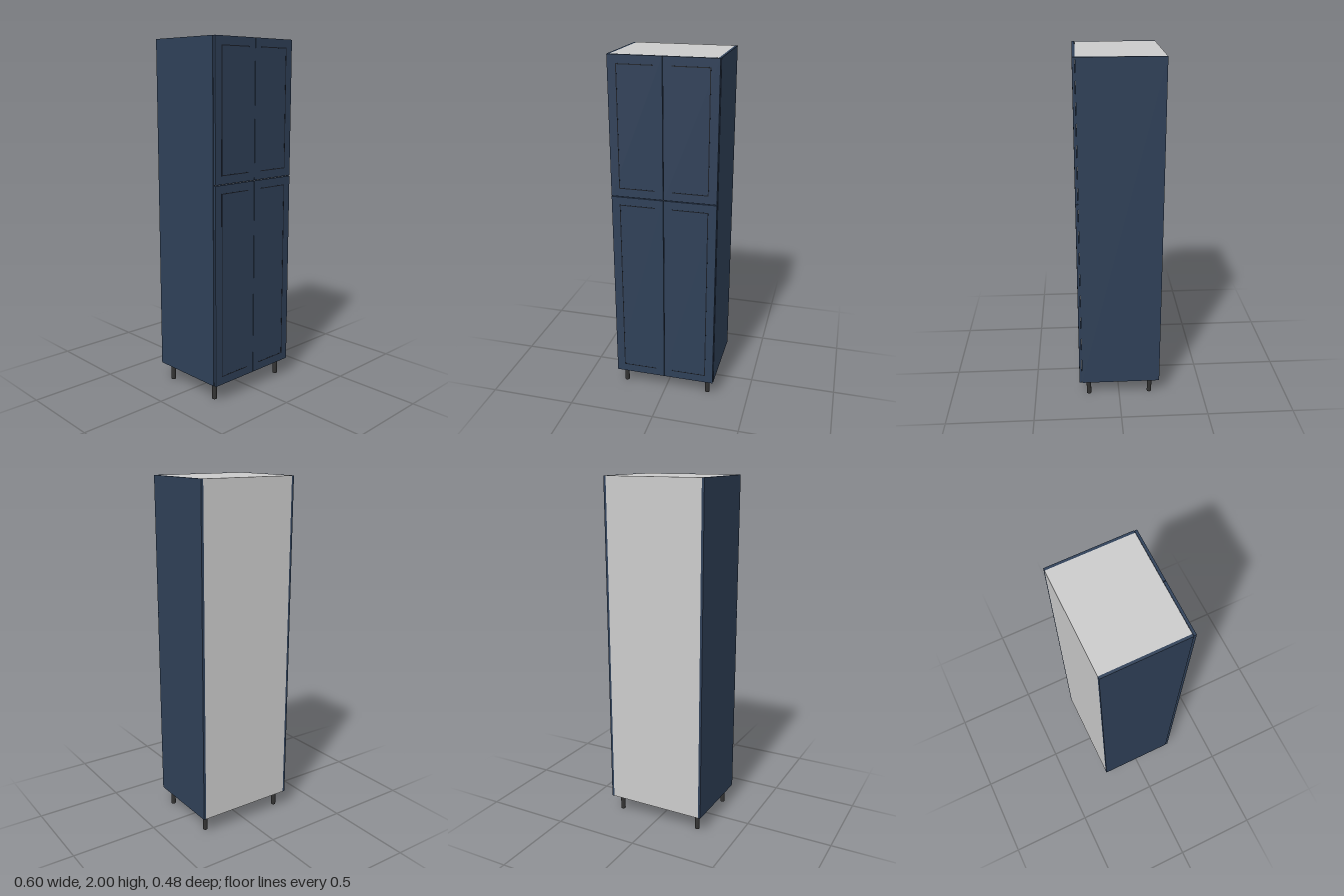
import * as THREE from 'three';

const navy = new THREE.MeshStandardMaterial({ color: 0x2f4058 });
const dark = new THREE.MeshStandardMaterial({ color: 0x1a1f28 });
const black = new THREE.MeshStandardMaterial({ color: 0x333333 });
const grey = new THREE.MeshStandardMaterial({ color: 0xcccccc });

// Box given by its minimum and maximum corners
function box(name, material, [x0, y0, z0], [x1, y1, z1]) {
  const mesh = new THREE.Mesh(new THREE.BoxGeometry(x1 - x0, y1 - y0, z1 - z0), material);
  mesh.position.set((x0 + x1) / 2, (y0 + y1) / 2, (z0 + z1) / 2);
  mesh.name = name;
  return mesh;
}

const W = 0.298, T = 0.014, BOTTOM = 0.1, TOP = 2, BACK = -0.238, FRONT = 0.221;
const IN = W - T; // inner half width
const DOOR_BACK = 0.2225, DOOR_FRONT = 0.2365;

// Door panel with thin lines along its outer, top and bottom edges
function createDoor(name, side, y0, y1) {
  const door = new THREE.Group();
  door.name = name;
  const span = (a, b) => [Math.min(side * a, side * b), Math.max(side * a, side * b)];
  const [x0, x1] = span(0.0015, 0.2955);
  door.add(box('doorPanel', navy, [x0, y0, DOOR_BACK], [x1, y1, DOOR_FRONT]));

  const inset = 0.045, w = 0.005, z0 = DOOR_FRONT - 0.002, z1 = DOOR_FRONT + 0.0006;
  const [v0, v1] = span(0.25 - w, 0.25);
  const [h0, h1] = span(0.048, 0.25 - w);
  const lo = y0 + inset, hi = y1 - inset;
  door.add(
    box('outerLine', dark, [v0, lo, z0], [v1, hi, z1]),
    box('bottomLine', dark, [h0, lo, z0], [h1, lo + w, z1]),
    box('topLine', dark, [h0, hi - w, z0], [h1, hi, z1])
  );
  return door;
}

export function createModel() {
  const model = new THREE.Group();
  model.name = 'tallCabinet';

  // Carcass: coloured sides around grey panels
  model.add(
    box('leftSide', navy, [IN, BOTTOM, BACK], [W, TOP, FRONT]),
    box('rightSide', navy, [-W, BOTTOM, BACK], [-IN, TOP, FRONT]),
    box('topPanel', grey, [-IN, TOP - T, BACK], [IN, TOP, FRONT]),
    box('bottomPanel', grey, [-IN, BOTTOM, BACK], [IN, BOTTOM + T, FRONT]),
    box('backPanel', grey, [-IN, BOTTOM + T, BACK], [IN, TOP - T, BACK + 0.006]),
    box('middleShelf', grey, [-IN, 1.225, BACK + 0.006], [IN, 1.225 + T, FRONT])
  );

  // Doors
  for (const side of [1, -1]) {
    const label = side > 0 ? 'left' : 'right';
    model.add(
      createDoor(label + 'LowerDoor', side, BOTTOM, 1.23),
      createDoor(label + 'UpperDoor', side, 1.234, TOP)
    );
  }

  // Round feet
  const footGeometry = new THREE.CylinderGeometry(0.0135, 0.0135, BOTTOM, 24);
  for (const x of [-0.255, 0.255]) {
    for (const z of [-0.183, 0.181]) {
      const foot = new THREE.Mesh(footGeometry, black);
      foot.position.set(x, BOTTOM / 2, z);
      foot.name = 'foot';
      model.add(foot);
    }
  }
  return model;
}
